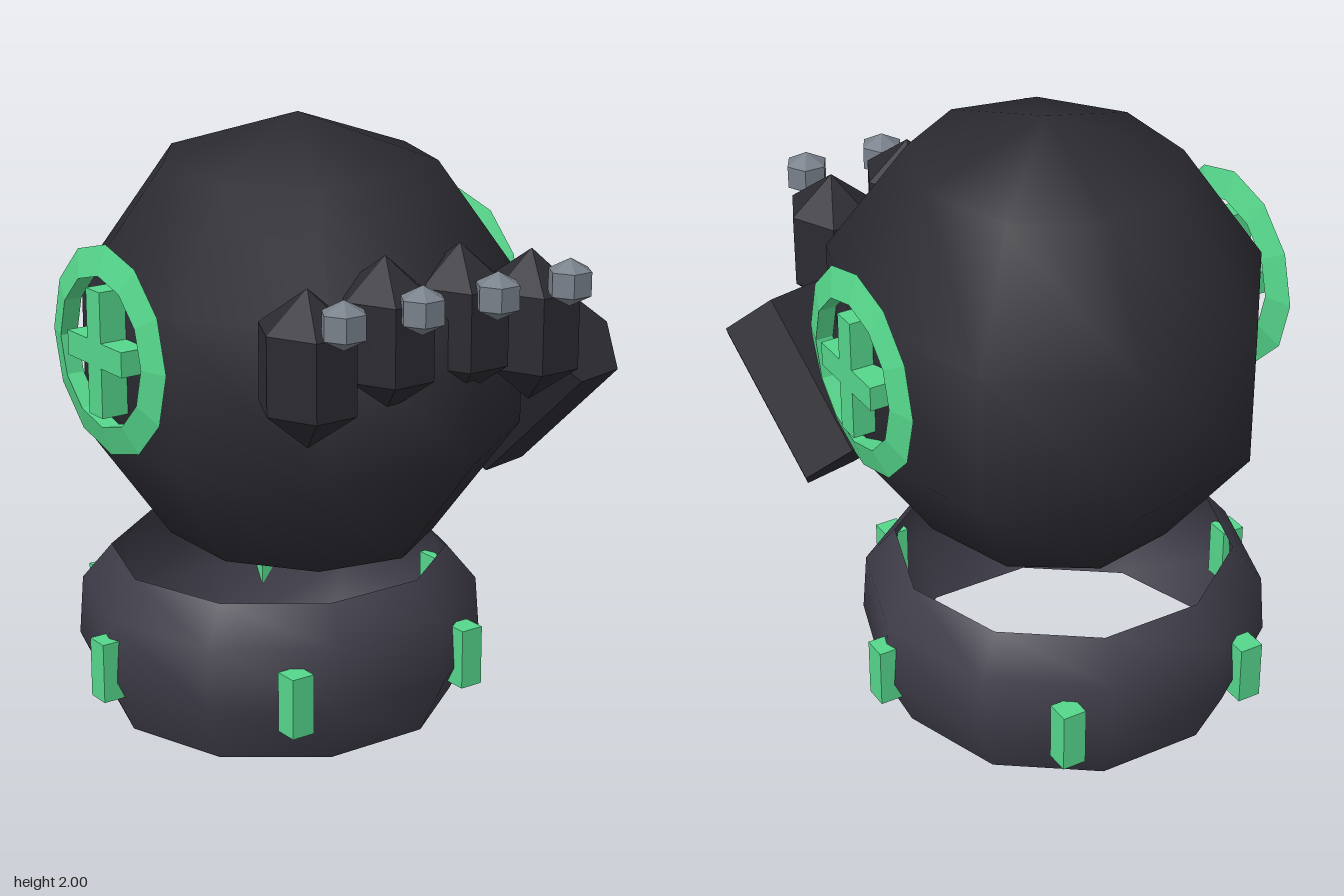
import * as THREE from 'three';

const mat = (color, flatShading = true, side = THREE.FrontSide) =>
  new THREE.MeshStandardMaterial({ color, flatShading, side });

export function createModel() {
  const model = new THREE.Group();
  const CX = -0.08; // shared centre line of body and collar
  const dark = mat(0x2b2a31);
  const green = mat(0x55d68b);
  const grey = mat(0x78808a);

  const add = (name, geometry, material, x, y, z, parent = model) => {
    const mesh = new THREE.Mesh(geometry, material);
    mesh.name = name;
    mesh.position.set(x, y, z);
    parent.add(mesh);
    return mesh;
  };

  // Rounded fist body, smooth shaded, with a vertex column on +x
  const body = new THREE.SphereGeometry(1, 9, 5).rotateY(Math.PI).scale(0.719, 0.755, 0.803);
  add('fistBody', body, mat(0x2b2a31, false), CX, 1.245, -0.065);

  // Open wrist collar, a thin ten-sided shell
  const profile = [[0.58, 0], [0.675, 0.2], [0.66, 0.4], [0.56, 0.52]].map(p => new THREE.Vector2(...p));
  const collar = new THREE.LatheGeometry(profile, 10, Math.PI / 2);
  add('wristCollar', collar, mat(0x3e3c48, false, THREE.DoubleSide), CX, 0, -0.185);

  // Six tabs around the collar
  const tab = new THREE.BoxGeometry(0.08, 0.2, 0.08);
  for (let i = 0; i < 6; i++) {
    const a = i * Math.PI / 3;
    add('collarTab', tab, green, CX + 0.67 * Math.cos(a), 0.24, -0.185 + 0.67 * Math.sin(a));
  }

  // Side badges: wedge-section ring around a cross
  const ring = new THREE.TorusGeometry(0.272, 0.063, 3, 12).scale(1, 1, 0.55).rotateY(Math.PI / 2);
  for (const s of [-1, 1]) {
    const badge = new THREE.Group();
    badge.name = s > 0 ? 'leftBadge' : 'rightBadge';
    badge.position.set(CX + s * 0.683, 1.325, -0.105);
    add('badgeRing', ring, green, 0, 0, 0, badge);
    add('crossUpright', new THREE.BoxGeometry(0.1, 0.4, 0.08), green, 0, 0, 0, badge);
    for (const d of [-1, 1])
      add('crossArm', new THREE.BoxGeometry(0.1, 0.08, 0.12), green, 0, 0, d * 0.1, badge);
    model.add(badge);
  }

  // Four faceted fingers, each with a stud; the middle two sit higher
  const finger = new THREE.SphereGeometry(1, 6, 3).scale(0.165, 0.242, 0.197);
  const stud = new THREE.SphereGeometry(1, 6, 3).scale(0.08, 0.075, 0.08);
  for (let i = 0; i < 4; i++) {
    const x = -0.505 + i * 0.28;
    const middle = i === 1 || i === 2;
    add('finger', finger, dark, x, middle ? 1.447 : 1.39, 0.59);
    add('knuckleStud', stud, grey, x, 1.562, 0.77);
  }

  // Hexagonal thumb leaning forward and outward
  const thumb = new THREE.CylinderGeometry(0.192, 0.192, 0.54, 6).rotateY(Math.PI / 6);
  add('thumb', thumb, dark, 0.585, 1.09, 0.27).rotation.set(0.78, 0.21, 0, 'YXZ');

  return model;
}
